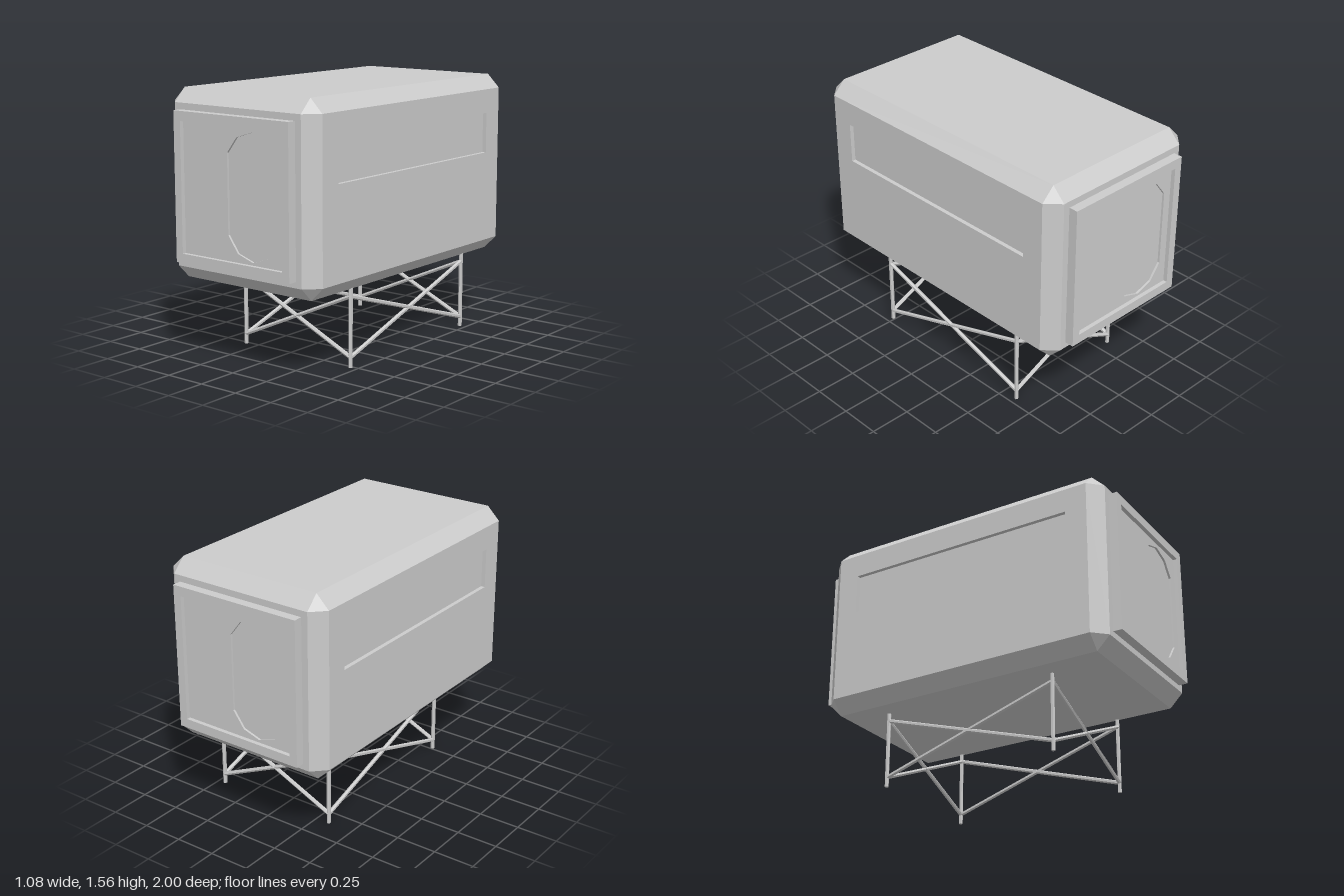
import * as THREE from 'three';
import { ConvexGeometry } from 'three/addons/geometries/ConvexGeometry.js';

const material = new THREE.MeshStandardMaterial({ color: 0xcccccc, flatShading: true });

// Body half sizes, centre height and chamfer
const HX = 0.54, HY = 0.55, HZ = 0.945, CY = 1.01, C = 0.08;

function add(parent, name, geometry) {
  const mesh = new THREE.Mesh(geometry, material);
  mesh.name = name;
  parent.add(mesh);
  return mesh;
}

const points = list => list.map(([x, y]) => new THREE.Vector2(x, y));
const rect = (w, y0, y1) => points([[-w, y0], [w, y0], [w, y1], [-w, y1]]);

// Flat plate between z0 and z1, with an optional opening
function plate(outline, hole, z0, z1) {
  const shape = new THREE.Shape(outline);
  if (hole) shape.holes.push(new THREE.Path(hole));
  return new THREE.ExtrudeGeometry(shape, { depth: z1 - z0, bevelEnabled: false }).translate(0, 0, z0);
}

// Chamfered box, left open on its two long sides
function hullGeometry() {
  const corners = [];
  for (const sx of [-1, 1]) for (const sy of [-1, 1]) for (const sz of [-1, 1])
    for (const k of [0, 1, 2]) {
      const [x, y, z] = [HX, HY, HZ].map((h, i) => (i === k ? h : h - C));
      corners.push(new THREE.Vector3(sx * x, CY + sy * y, sz * z));
    }
  const p = new ConvexGeometry(corners).getAttribute('position');
  const kept = [];
  for (let i = 0; i < p.count; i += 3) {
    const tri = [0, 1, 2].map(k => new THREE.Vector3().fromBufferAttribute(p, i + k));
    if (tri.every(v => Math.abs(v.x) > HX - 0.001)) continue;
    kept.push(...tri);
  }
  const geometry = new THREE.BufferGeometry().setFromPoints(kept);
  geometry.computeVertexNormals();
  return geometry;
}

// Long side wall with a shallow recessed window
function sideWall() {
  const side = new THREE.Group();
  const opening = rect(0.73, 1.09, 1.335);
  add(side, 'sidePanel', plate(rect(HZ - C, CY - HY + C, CY + HY - C), opening, HX - 0.025, HX));
  add(side, 'sideWindow', plate(opening, null, HX - 0.04, HX - 0.025));
  return side;
}

// End wall: raised frame, inset panel and sunken elongated door
function endWall() {
  const end = new THREE.Group();
  const inner = rect(0.37, 0.63, 1.385);
  const door = points([
    [0.14, 0.645], [0.25, 0.68], [0.32, 0.775], [0.32, 1.235], [0.25, 1.325],
    [0.14, 1.36], [0.03, 1.325], [-0.04, 1.235], [-0.04, 0.775], [0.03, 0.68],
  ]);
  add(end, 'endFrame', plate(rect(0.42, 0.575, 1.442), inner, 0.94, 1));
  add(end, 'endPanel', plate(inner, door, 0.95, 0.975));
  add(end, 'door', plate(door, null, 0.95, 0.962));
  return end;
}

// Straight hexagonal bar between two points
function bar(parent, name, a, b, radius) {
  const dir = b.clone().sub(a);
  const mesh = add(parent, name, new THREE.CylinderGeometry(radius, radius, dir.length(), 6));
  mesh.position.copy(a).add(b).multiplyScalar(0.5);
  mesh.quaternion.setFromUnitVectors(new THREE.Vector3(0, 1, 0), dir.normalize());
}

// Four legs joined by crossed braces
function stand() {
  const group = new THREE.Group();
  group.name = 'stand';
  const feet = [[-0.335, 0.515], [0.455, 0.515], [0.455, -0.6], [-0.335, -0.6]];
  const at = ([x, z], y) => new THREE.Vector3(x, y, z);
  feet.forEach((foot, i) => {
    const next = feet[(i + 1) % 4];
    bar(group, 'leg', at(foot, 0), at(foot, 0.475), 0.0125);
    bar(group, 'brace', at(foot, 0.06), at(next, 0.415), 0.0125);
    bar(group, 'brace', at(foot, 0.415), at(next, 0.06), 0.0125);
  });
  return group;
}

export function createModel() {
  const model = new THREE.Group();
  model.name = 'raisedCabin';
  add(model, 'hull', hullGeometry());

  for (const [name, angle] of [['leftWall', Math.PI / 2], ['rightWall', -Math.PI / 2]]) {
    const side = sideWall();
    side.name = name;
    side.rotation.y = angle;
    model.add(side);
  }
  for (const [name, angle] of [['frontWall', 0], ['backWall', Math.PI]]) {
    const end = endWall();
    end.name = name;
    end.rotation.y = angle;
    model.add(end);
  }
  model.add(stand());
  return model;
}
